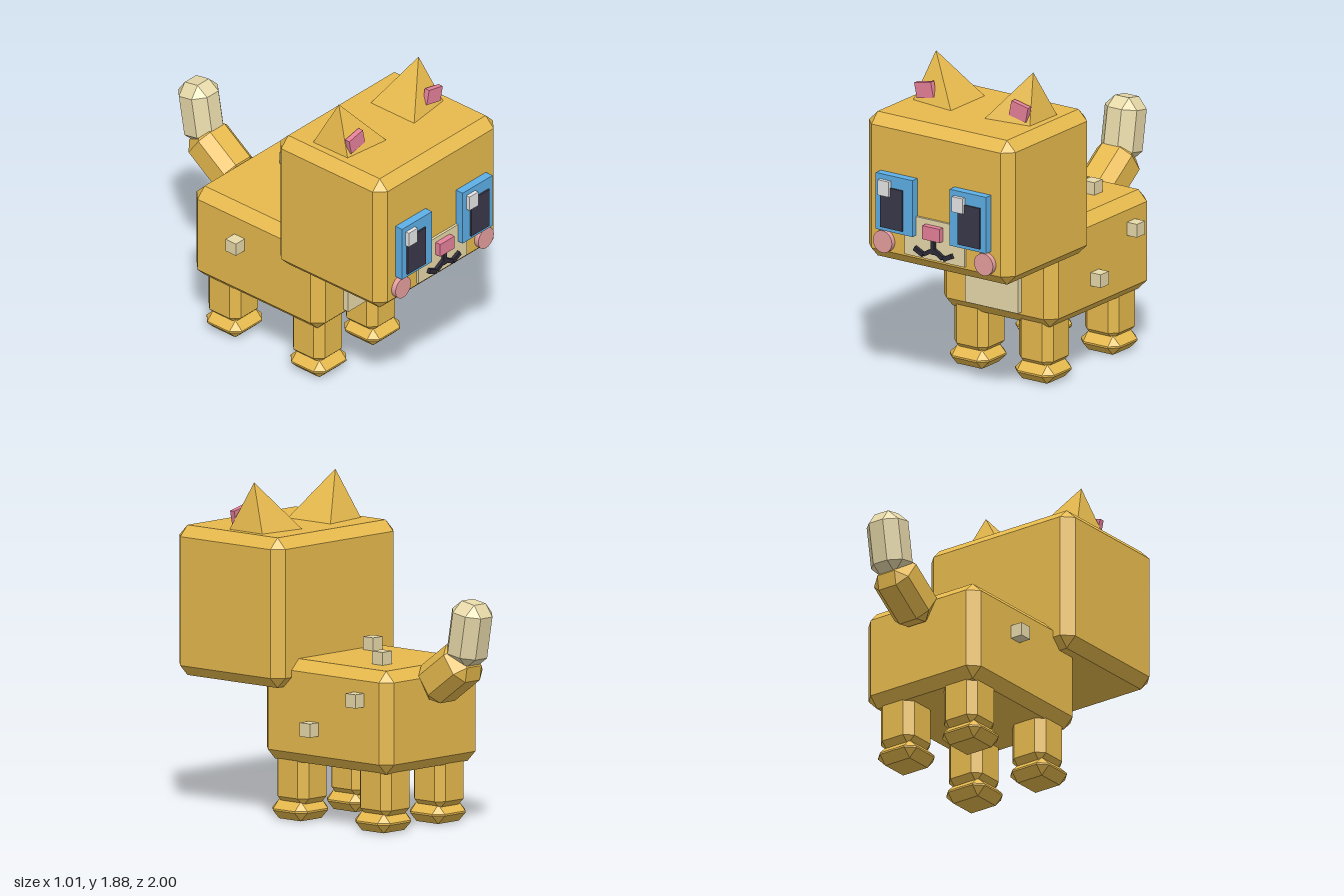
import * as THREE from 'three';
import { ConvexGeometry } from 'three/addons/geometries/ConvexGeometry.js';

const mat = (name, color) => Object.assign(new THREE.MeshStandardMaterial({ color }), { name });

export function createModel() {
  const cat = new THREE.Group();
  cat.name = 'blockCat';

  const fur = mat('goldenFur', 0xfccb55);
  const cream = mat('cream', 0xfff0bb);
  const blue = mat('eyeBlue', 0x68c2ff);
  const dark = mat('dark', 0x3a384a);
  const ink = mat('mouthInk', 0x2d2a38);
  const pink = mat('pink', 0xff8fab);
  const blush = mat('blush', 0xffb0b0);
  const white = mat('white', 0xffffff);

  const add = (name, geometry, material, x, y, z) => {
    const mesh = new THREE.Mesh(geometry, material);
    mesh.name = name;
    mesh.position.set(x, y, z);
    cat.add(mesh);
    return mesh;
  };

  // Box with every edge cut flat by c
  const chamferBox = (w, h, d, c) => {
    const points = [];
    for (const sx of [-1, 1]) for (const sy of [-1, 1]) for (const sz of [-1, 1]) {
      const [x, y, z] = [w / 2, h / 2, d / 2];
      points.push(
        new THREE.Vector3(sx * x, sy * (y - c), sz * (z - c)),
        new THREE.Vector3(sx * (x - c), sy * y, sz * (z - c)),
        new THREE.Vector3(sx * (x - c), sy * (y - c), sz * z));
    }
    return new ConvexGeometry(points);
  };
  const box = (name, material, w, h, d, x, y, z) =>
    add(name, new THREE.BoxGeometry(w, h, d), material, x, y, z);

  // Head and body
  add('head', chamferBox(1.01, 0.85, 0.805, 0.06), fur, 0, 1.19, 0.5225);
  add('body', chamferBox(0.79, 0.585, 0.965, 0.06), fur, 0, 0.6325, -0.1225);
  box('bellyPatch', cream, 0.365, 0.385, 0.06, 0, 0.6075, 0.365);

  // Legs and paws
  for (const s of [-1, 1]) for (const [end, z] of [['front', 0.2], ['back', -0.43]]) {
    add(end + 'Leg', chamferBox(0.235, 0.36, 0.24, 0.045), fur, s * 0.2225, 0.265, z);
    add(end + 'Paw', chamferBox(0.27, 0.11, 0.265, 0.05), fur, s * 0.225, 0.055, z + 0.01);
  }

  // Tail
  add('tailBase', chamferBox(0.24, 0.356, 0.246, 0.06), fur, 0, 0.897, -0.725).rotation.x = -0.945;
  add('tailTip', chamferBox(0.22, 0.365, 0.22, 0.062), cream, 0, 1.136, -0.871).rotation.x = -0.17;

  // Muzzle and nose
  box('muzzle', cream, 0.41, 0.235, 0.03, 0, 0.9575, 0.925);
  box('nose', pink, 0.12, 0.08, 0.05, 0, 1.005, 0.95);
  box('mouthLine', ink, 0.024, 0.09, 0.03, 0, 0.925, 0.945);

  for (const s of [-1, 1]) {
    // Ears: pyramids leaning outward
    const ear = [[0.41, 1.6, 0.325], [0.115, 1.612, 0.295], [0.115, 1.612, 0.623],
      [0.405, 1.6, 0.592], [0.335, 1.885, 0.46]];
    add('ear', new ConvexGeometry(ear.map(([x, y, z]) => new THREE.Vector3(s * x, y, z))), fur, 0, 0, 0);
    box('innerEar', pink, 0.117, 0.09, 0.032, s * 0.326, 1.687, 0.574).rotation.z = -s * 0.21;

    // Eyes
    box('eye', blue, 0.252, 0.332, 0.06, s * 0.254, 1.13, 0.945);
    box('pupil', dark, 0.153, 0.24, 0.03, s * 0.267, 1.105, 0.97);
    box('eyeHighlight', white, 0.075, 0.09, 0.03, s < 0 ? -0.3125 : 0.1975, 1.22, 0.983);

    // Cheeks
    add('cheek', new THREE.CylinderGeometry(0.065, 0.065, 0.04, 24), blush, s * 0.348, 0.888, 0.935)
      .rotation.x = Math.PI / 2;

    // Mouth curve, two strokes per side
    box('mouthInner', ink, 0.075, 0.025, 0.03, s * 0.032, 0.888, 0.945).rotation.z = -s * 0.52;
    box('mouthOuter', ink, 0.065, 0.027, 0.03, s * 0.1, 0.879, 0.945).rotation.z = s * 0.46;
  }

  // Fur spots
  for (const [x, y, z] of [[0.16, 0.96, -0.352], [-0.185, 0.96, 0.037],
    [0.425, 0.755, -0.392], [0.425, 0.552, -0.045], [-0.43, 0.713, -0.23]]) {
    box('furSpot', cream, 0.078, 0.078, 0.078, x, y, z);
  }

  return cat;
}
